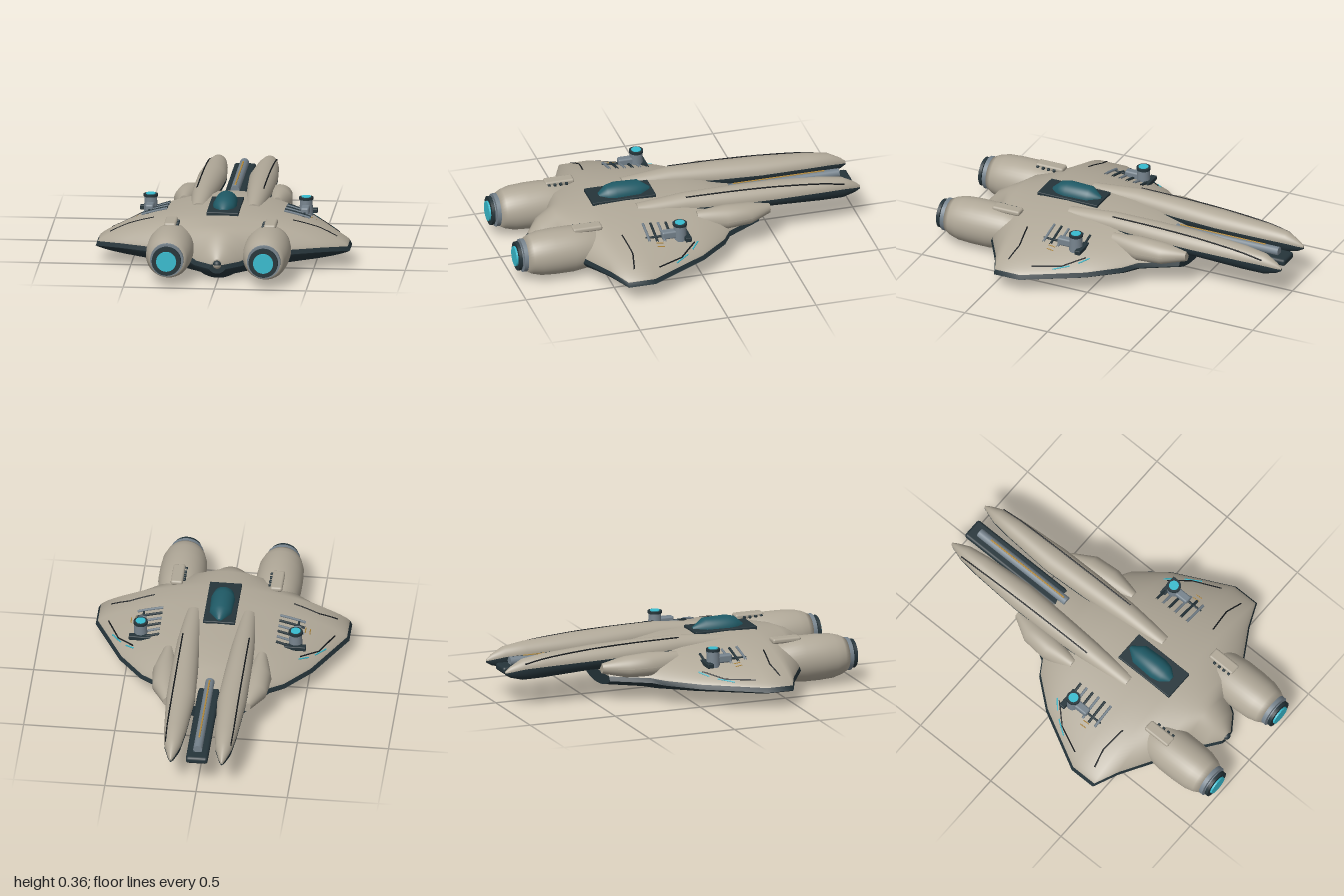
import * as THREE from 'three';
import { RoundedBoxGeometry } from 'three/addons/geometries/RoundedBoxGeometry.js';

const paint = (name, color) => Object.assign(new THREE.MeshStandardMaterial({ color, side: THREE.DoubleSide }), { name });

export function createModel() {
  const beige = paint('hull beige', 0xb0a898), dark = paint('dark underside', 0x25343a);
  const grey = paint('metal grey', 0x76838d), teal = paint('canopy teal', 0x1f5a66);
  const cyan = paint('glow cyan', 0x38bccf), black = paint('panel line black', 0x14181b);
  const gold = paint('gold trim', 0xb0873a);
  const model = new THREE.Group();
  model.name = 'spacecraft';

  const add = (name, geo, mat, x = 0, y = 0, z = 0, parent = model) => {
    const m = new THREE.Mesh(geo, mat);
    m.name = name;
    m.position.set(x, y, z);
    parent.add(m);
    return m;
  };
  const box = (w, h, d, r = 0.004) => new RoundedBoxGeometry(w, h, d, 2, r);

  // Half shell through stations [z, centre x, half width, top, seam, bottom]
  function shell(stations, upper, power = 0.5, lip = 0, n = 28) {
    const rows = stations.map(([z, cx, w, top, seam, bot]) => {
      const row = [], inner = w - lip, low = seam - lip * 2;
      for (let i = 0; i <= n; i++) {
        const u = -Math.cos(Math.PI * i / n), f = Math.pow(Math.max(0, 1 - u * u), power);
        row.push(upper ? [cx + u * inner, seam + (top - seam) * f, z] : [cx - u * w, low - (low - bot) * f, z]);
      }
      if (!upper && lip) {
        row.unshift([cx + inner, seam, z]);
        row.push([cx - inner, seam, z]);
      }
      return row;
    });
    // closed ends
    const flat = row => row.map(() => row[0].map((v, k) => (v + row[row.length - 1][k]) / 2));
    const first = rows[0], last = rows[rows.length - 1];
    const all = [flat(first), first, ...rows, last, flat(last)];
    const m = first.length, index = [];
    for (let r = 0; r < all.length - 1; r++) {
      if (r === 1 || r === all.length - 3) continue;
      for (let i = 0; i < m - 1; i++) {
        const a = r * m + i, b = a + m;
        index.push(a, b, a + 1, a + 1, b, b + 1);
      }
    }
    const g = new THREE.BufferGeometry();
    g.setAttribute('position', new THREE.Float32BufferAttribute(all.flat(2), 3));
    g.setIndex(index);
    g.computeVertexNormals();
    return g;
  }

  // Hull and wings: one blended body
  const LIP = 0.012, POWER = 0.8;
  const hull = [
    [-0.41, 0, 0.2, 0.2, 0.14, 0.065], [-0.21, 0, 0.32, 0.25, 0.14, 0.045],
    [-0.16, 0, 0.4, 0.265, 0.14, 0.04], [0, 0, 0.53, 0.29, 0.135, 0.033],
    [0.32, 0, 0.695, 0.3, 0.125, 0.02], [0.47, 0, 0.695, 0.295, 0.125, 0.013],
    [0.53, 0, 0.56, 0.287, 0.13, 0.01], [0.64, 0, 0.38, 0.275, 0.14, 0.006],
    [0.7, 0, 0.18, 0.255, 0.115, 0.004], [0.78, 0, 0.13, 0.205, 0.105, 0.012],
    [0.84, 0, 0.045, 0.13, 0.1, 0.05],
  ];
  add('upperHull', shell(hull, true, POWER, LIP, 48), beige);
  add('lowerHull', shell(hull, false, POWER, LIP, 48), dark);

  // Height of the upper hull at (x, z)
  function surfaceY(x, z) {
    const i = Math.max(1, hull.findIndex(s => s[0] >= z));
    const a = hull[i - 1], b = hull[i], t = (z - a[0]) / (b[0] - a[0]);
    const [, , w, top, seam] = a.map((v, k) => v + (b[k] - v) * t);
    return seam + (top - seam) * Math.pow(Math.max(0, 1 - (x / (w - LIP)) ** 2), POWER);
  }
  // Thin line laid over the hull through [x, z] points
  function strip(name, pts, r, mat, s, lift = 0) {
    const path = new THREE.CurvePath();
    const v = [];
    for (let i = 0; i < pts.length - 1; i++) for (let k = 0; k <= 6; k++) {
      if (i && !k) continue;
      const x = pts[i][0] + (pts[i + 1][0] - pts[i][0]) * k / 6, z = pts[i][1] + (pts[i + 1][1] - pts[i][1]) * k / 6;
      v.push(new THREE.Vector3(s * x, surfaceY(x, z) + lift, z));
    }
    for (let i = 1; i < v.length; i++) path.add(new THREE.LineCurve3(v[i - 1], v[i]));
    add(name, new THREE.TubeGeometry(path, v.length * 2, r, 6), mat);
  }

  // Canopy on its dark base
  add('canopyBase', box(0.175, 0.03, 0.36), dark, 0, 0.292, 0.32);
  add('canopy', shell([
    [0.155, 0, 0.012, 0.315, 0.3], [0.22, 0, 0.06, 0.36, 0.3], [0.35, 0, 0.066, 0.364, 0.3],
    [0.4, 0, 0.055, 0.352, 0.3], [0.445, 0, 0.02, 0.312, 0.3],
  ], true), teal);

  // Small sensor at the hull end
  add('sensorHood', new THREE.SphereGeometry(0.024, 16, 6, 0, Math.PI * 2, 0, Math.PI / 2), dark, 0, 0.1, 0.835);
  add('sensorChin', new THREE.SphereGeometry(0.024, 16, 6, 0, Math.PI * 2, Math.PI / 2, Math.PI / 2), beige, 0, 0.1, 0.835);

  // Central gun on a dark rail between the prongs
  add('gunRail', box(0.12, 0.04, 0.66, 0.015), dark, 0, 0.195, -0.65);
  add('gunBarrel', new THREE.CylinderGeometry(0.025, 0.025, 0.62, 16), grey, 0, 0.23, -0.61).rotation.x = Math.PI / 2;
  add('gunInlay', box(0.009, 0.006, 0.52, 0.002), gold, 0, 0.255, -0.58);

  const engineProfile = [[0, 0.33], [0.04, 0.4], [0.085, 0.5], [0.115, 0.59], [0.127, 0.68], [0.127, 0.78],
    [0.122, 0.86], [0.108, 0.91], [0.092, 0.94], [0, 0.94]].map(p => new THREE.Vector2(...p));

  for (const s of [1, -1]) {
    const side = s > 0 ? 'left' : 'right';

    // Long forward prong
    const prong = [
      [-1, 0.14, 0.006, 0.215, 0.205, 0.195], [-0.97, 0.14, 0.02, 0.24, 0.212, 0.178],
      [-0.9, 0.14, 0.045, 0.277, 0.228, 0.16], [-0.78, 0.14, 0.06, 0.295, 0.235, 0.163],
      [-0.5, 0.14, 0.079, 0.314, 0.245, 0.18], [-0.25, 0.146, 0.074, 0.322, 0.25, 0.17],
      [0, 0.15, 0.062, 0.325, 0.262, 0.17], [0.27, 0.15, 0.042, 0.3, 0.262, 0.2],
    ].map(([z, x, ...rest]) => [z, x * s, ...rest]);
    add(side + 'ProngTop', shell(prong, true), beige);
    add(side + 'ProngUnderside', shell(prong, false), dark);
    // Panel line along the prong
    const line = prong.slice(2, 7).map(([z, x, w, top, seam]) => {
      const u = Math.min(0.85, (0.182 - Math.abs(x)) / w);
      return new THREE.Vector3(x + s * u * w, seam + (top - seam) * Math.sqrt(1 - u * u) + 0.001, z);
    });
    add(side + 'ProngLine', new THREE.TubeGeometry(new THREE.CatmullRomCurve3(line), 32, 0.004, 6), black);

    // Shoulder pod beside the prong
    const pod = [
      [-0.465, 0.215, 0.025, 0.225, 0.2, 0.17], [-0.34, 0.245, 0.068, 0.26, 0.2, 0.145],
      [-0.2, 0.255, 0.07, 0.272, 0.2, 0.14], [-0.04, 0.255, 0.036, 0.262, 0.2, 0.15],
    ].map(([z, x, ...rest]) => [z, x * s, ...rest]);
    add(side + 'PodTop', shell(pod, true), beige);
    add(side + 'PodBottom', shell(pod, false), beige);

    // Engine with nozzle rings and glowing disc
    const engine = new THREE.Group();
    engine.name = side + 'Engine';
    engine.position.set(0.265 * s, 0.15, 0);
    model.add(engine);
    const disc = (name, r, z0, z1, mat) =>
      add(name, new THREE.CylinderGeometry(r, r, z1 - z0, 32), mat, 0, 0, (z0 + z1) / 2, engine).rotation.x = Math.PI / 2;
    add('nacelle', new THREE.LatheGeometry(engineProfile, 40), beige, 0, 0, 0, engine).rotation.x = Math.PI / 2;
    disc('nozzleCollar', 0.091, 0.935, 0.963, grey);
    disc('nozzleNeck', 0.066, 0.96, 0.976, grey);
    disc('nozzleRim', 0.08, 0.972, 0.99, dark);
    disc('engineGlow', 0.055, 0.985, 1, cyan);

    // Raised hatch with vents
    add(side + 'EngineHatch', box(0.066, 0.03, 0.165, 0.012), beige, 0.273 * s, 0.27, 0.59);
    for (let i = 0; i < 4; i++) add(side + 'HatchVent', box(0.016, 0.014, 0.016), dark, 0.235 * s, 0.268, 0.555 + i * 0.033);

    // Wing turret
    add(side + 'TurretPad', box(0.12, 0.025, 0.035), dark, 0.425 * s, 0.222, 0.07);
    add(side + 'TurretBody', new THREE.CylinderGeometry(0.034, 0.038, 0.09, 24), grey, 0.425 * s, 0.25, 0.105);
    add(side + 'TurretCap', new THREE.CylinderGeometry(0.039, 0.039, 0.014, 24), dark, 0.425 * s, 0.299, 0.105);
    add(side + 'TurretLight', new THREE.CylinderGeometry(0.027, 0.027, 0.006, 24), cyan, 0.425 * s, 0.307, 0.105);
    add(side + 'TurretBarrel', box(0.045, 0.045, 0.1, 0.01), grey, 0.425 * s, 0.245, 0.16);
    add(side + 'TurretRod', box(0.012, 0.012, 0.1), dark, 0.425 * s, 0.238, 0.25);

    // Cooling ribs beside the turret
    for (let i = 0; i < 6; i++) {
      const z = 0.07 + i * 0.043, out = i > 2 ? 0.46 : 0.41;
      strip(side + 'CoolingRib', [[0.32, z], [out, z]], 0.0075, i % 2 ? grey : dark, s, 0.004);
    }
    // Painted wing lines
    strip(side + 'WingLine', [[0.455, 0.03], [0.55, 0.13], [0.62, 0.28]], 0.004, black, s);
    strip(side + 'RearWingLine', [[0.38, 0.42], [0.52, 0.4], [0.62, 0.42]], 0.004, black, s);
    strip(side + 'WingGlowFront', [[0.45, 0.01], [0.5, 0.055]], 0.004, cyan, s);
    strip(side + 'WingGlowRear', [[0.53, 0.09], [0.585, 0.17]], 0.004, cyan, s);
    for (const x of [0.465, 0.49]) strip(side + 'GoldMark', [[x, 0.21], [x, 0.25]], 0.003, gold, s);
  }
  return model;
}
